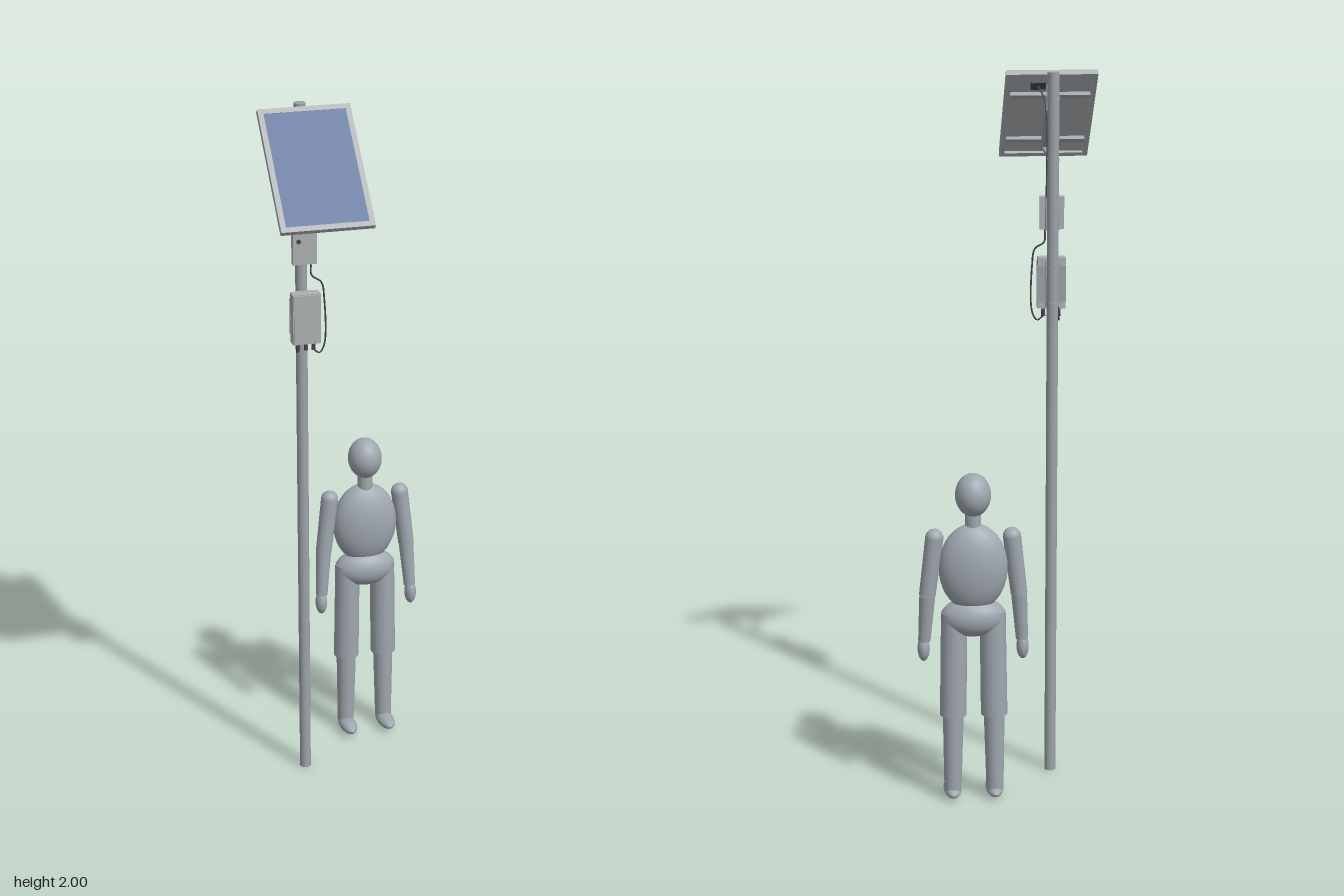
import * as THREE from 'three';

const mat = (name, color) => {
  const m = new THREE.MeshStandardMaterial({ color });
  m.name = name;
  return m;
};

export function createModel() {
  const root = new THREE.Group();
  const steel = mat('steel grey', 0x9da3a8);
  const body = mat('figure grey', 0x9fa7af);
  const alu = mat('aluminium', 0xacb0b2);
  const blue = mat('solar blue', 0x5b7099);
  const dark = mat('dark plastic', 0x45484c);
  const PX = -0.133, PZ = -0.029, PR = 0.016;

  const add = (name, geo, material, x = 0, y = 0, z = 0, parent = root) => {
    const m = new THREE.Mesh(geo, material);
    m.name = name;
    m.position.set(x, y, z);
    parent.add(m);
    return m;
  };
  const box = (name, w, h, d, material, x, y, z, parent) =>
    add(name, new THREE.BoxGeometry(w, h, d), material, x, y, z, parent);
  const ball = (name, rx, ry, rz, x, y, z, parent) => {
    const g = new THREE.SphereGeometry(1, 32, 20).scale(rx, ry, rz);
    return add(name, g, body, x, y, z, parent);
  };
  // Round bar from point a (radius ra) to point b (radius rb)
  const limb = (name, a, b, ra, rb, material = body, parent = root) => {
    const va = new THREE.Vector3(...a), vb = new THREE.Vector3(...b);
    const dir = vb.clone().sub(va);
    const m = add(name, new THREE.CylinderGeometry(rb, ra, dir.length(), 24), material, 0, 0, 0, parent);
    m.position.copy(va).add(vb).multiplyScalar(0.5);
    m.quaternion.setFromUnitVectors(new THREE.Vector3(0, 1, 0), dir.normalize());
    return m;
  };

  // Pole with clamp bands and rear bolts
  add('pole', new THREE.CylinderGeometry(PR, PR, 2, 32), steel, PX, 1, PZ);
  for (const y of [1.93, 1.765, 1.635, 1.47, 1.37]) {
    add('clampBand', new THREE.CylinderGeometry(PR + 0.0012, PR + 0.0012, 0.007, 32), steel, PX, y, PZ);
    box('clampBolt', 0.008, 0.007, 0.006, steel, PX, y, PZ - PR - 0.002);
  }

  // Tilted solar panel: local y is the face normal, local z runs down the slope
  const panel = new THREE.Group();
  panel.name = 'solarPanel';
  panel.position.set(PX, 1.868, 0.138);
  panel.rotation.x = Math.PI / 4;
  root.add(panel);
  const W = 0.249, L = 0.361, T = 0.016, B = 0.0145;
  for (const s of [-1, 1]) {
    box('frameSide', B, T, L, alu, s * (W - B) / 2, 0, 0, panel);
    box('frameEnd', W - 2 * B, T, B, alu, 0, 0, s * (L - B) / 2, panel);
  }
  box('backSheet', W - 2 * B, 0.006, L - 2 * B, alu, 0, 0.0025, 0, panel);
  box('solarCells', W - 2 * B, 0.002, L - 2 * B, blue, 0, 0.0065, 0, panel);
  box('junctionBox', 0.04, 0.012, 0.028, dark, 0.035, -0.006, -0.135, panel);
  for (const z of [-0.09, 0.105])
    box('crossRail', W - 2 * B, 0.012, 0.014, steel, 0, -0.006, z, panel);
  box('slopeRail', 0.022, 0.008, 0.24, steel, 0, -0.015, 0.01, panel);

  // Brackets holding the panel to the pole
  box('lowerStrut', 0.014, 0.009, 0.225, steel, PX, 1.763, 0.1);
  box('lowerPlate', 0.034, 0.03, 0.005, steel, PX, 1.765, -0.01);
  box('upperPlate', 0.034, 0.07, 0.005, steel, PX, 1.93, -0.01);
  for (const s of [-1, 1])
    limb('upperArm', [PX + s * 0.01, 1.9, -0.008], [PX + s * 0.01, 1.955, 0.03], 0.004, 0.004, steel);

  // Upper sensor box
  box('sensorBox', 0.066, 0.09, 0.02, alu, PX - 0.001, 1.615, 0.012);
  box('sensorBracket', 0.036, 0.09, 0.02, steel, PX, 1.615, -0.006);
  const eye = add('sensorEye', new THREE.CylinderGeometry(0.006, 0.006, 0.006, 20), dark, -0.152, 1.636, 0.023);
  eye.rotation.x = Math.PI / 2;

  // Lower control box with mounting ears and glands
  box('controlBox', 0.077, 0.142, 0.032, alu, -0.134, 1.42, 0.021);
  box('controlDoor', 0.073, 0.138, 0.006, alu, -0.134, 1.42, 0.039);
  box('controlBackPlate', 0.08, 0.1, 0.007, steel, PX, 1.42, 0.001);
  box('controlBracket', 0.036, 0.13, 0.014, steel, PX, 1.42, -0.008);
  for (const x of [-0.155, -0.133, -0.112])
    add('cableGland', new THREE.CylinderGeometry(0.005, 0.006, 0.024, 16), dark, x, 1.338, 0.018);

  // Cables
  const cable = (name, pts) => {
    const c = new THREE.CatmullRomCurve3(pts.map((p) => new THREE.Vector3(...p)));
    add(name, new THREE.TubeGeometry(c, 48, 0.0024, 8), dark);
  };
  cable('sideCable', [[-0.115, 1.57, 0.01], [-0.113, 1.535, 0.008], [-0.088, 1.515, 0.015],
    [-0.081, 1.47, 0.018], [-0.081, 1.34, 0.018], [-0.095, 1.315, 0.018], [-0.112, 1.327, 0.018]]);
  cable('poleCable', [[-0.155, 1.328, 0.018], [-0.155, 1.318, 0.008], [-0.152, 1.325, -0.012], [-0.149, 1.36, -0.018]]);
  cable('panelCable', [[-0.098, 1.955, 0.035], [-0.112, 1.925, 0.01], [-0.117, 1.88, -0.012], [-0.117, 1.66, -0.011]]);

  // Standing mannequin
  const figure = new THREE.Group();
  figure.name = 'mannequin';
  figure.position.set(0.099, 0, -0.214);
  root.add(figure);
  ball('head', 0.049, 0.06, 0.053, 0, 0.884, -0.002, figure);
  limb('neck', [0, 0.77, 0], [0, 0.85, 0], 0.022, 0.022, body, figure);
  ball('torso', 0.095, 0.125, 0.055, 0, 0.678, -0.003, figure);
  ball('pelvis', 0.09, 0.056, 0.053, 0, 0.536, 0, figure);
  for (const s of [-1, 1]) {
    const side = s > 0 ? 'left' : 'right';
    limb(side + 'Thigh', [s * 0.057, 0.25, 0], [s * 0.053, 0.55, 0], 0.037, 0.036, body, figure);
    limb(side + 'Shin', [s * 0.059, 0.025, 0], [s * 0.057, 0.25, 0], 0.024, 0.029, body, figure);
    const foot = ball(side + 'Foot', 0.025, 0.019, 0.061, s * 0.059, 0.022, 0.022, figure);
    foot.rotation.x = -0.05;
    // Arm
    const shoulder = [s * 0.106, 0.765, -0.003], elbow = [s * 0.126, 0.6, 0.002], wrist = [s * 0.135, 0.465, 0.012];
    ball(side + 'Shoulder', 0.025, 0.025, 0.025, ...shoulder, figure);
    limb(side + 'UpperArm', shoulder, elbow, 0.025, 0.023, body, figure);
    limb(side + 'Forearm', elbow, wrist, 0.022, 0.017, body, figure);
    ball(side + 'Hand', 0.017, 0.036, 0.021, s * 0.137, 0.441, 0.014, figure);
  }
  return root;
}
